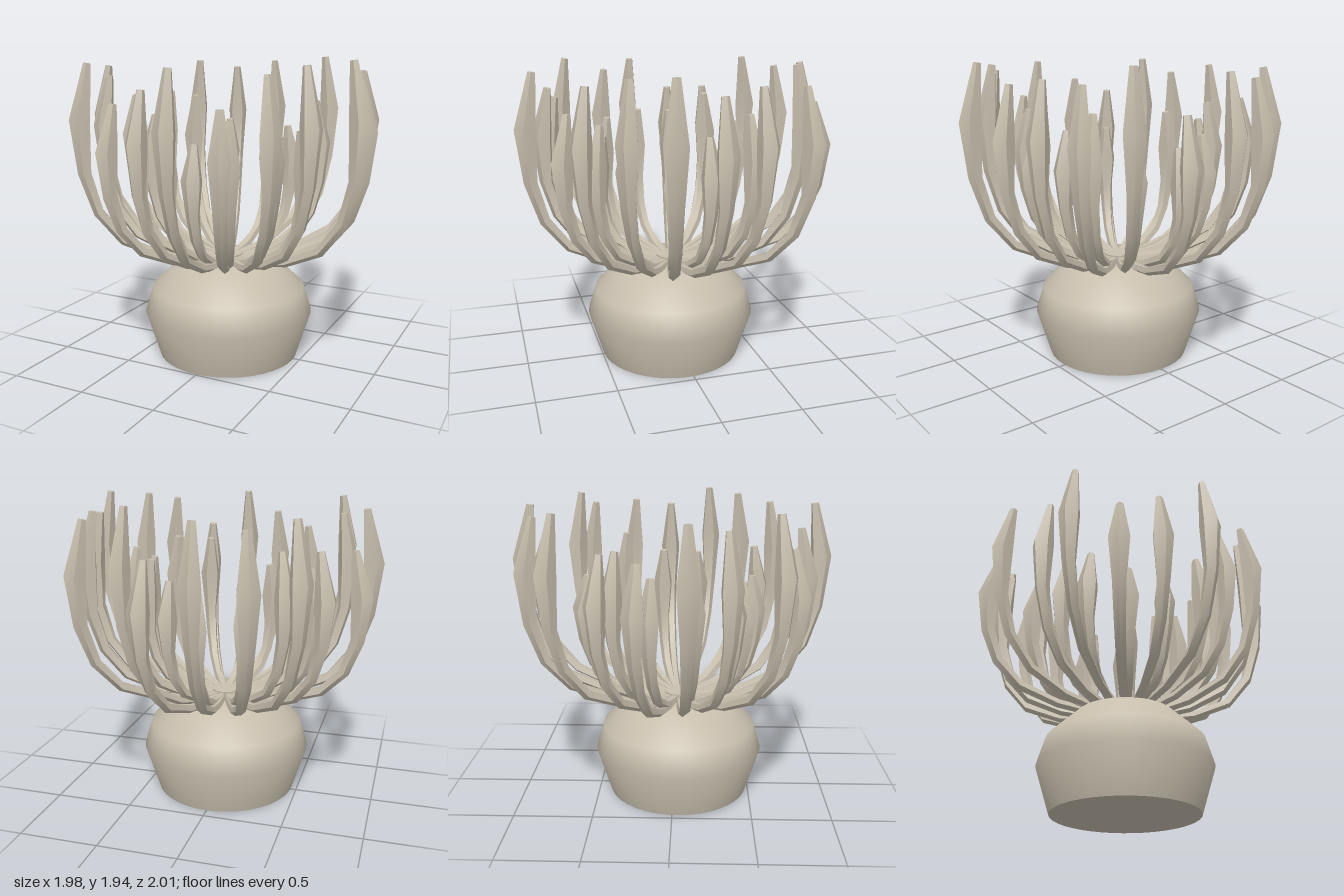
import * as THREE from 'three';
import { toCreasedNormals } from 'three/addons/utils/BufferGeometryUtils.js';

const SIDES = 5;
const CENTRE_Z = 0.03;
const ROOT_Y = 0.645;

// Arm sections: [outward fraction, upward fraction, radius]
const SECTIONS = [
  [0, 0, 0.026], [0.22, 0.012, 0.027], [0.4, 0.035, 0.028], [0.7, 0.125, 0.032],
  [0.885, 0.275, 0.036], [0.98, 0.475, 0.044], [1, 0.73, 0.068], [0.93, 1, 0.024],
];

// Bulge position x, z and tip height y of each arm
const OUTER_ARMS = [
  [-0.08, -0.94, 1.9], [0.225, -0.91, 1.68], [-0.37, -0.87, 1.855], [-0.615, -0.705, 1.9],
  [-0.71, -0.42, 1.69], [-0.89, -0.19, 1.67], [-0.92, 0.1, 1.88], [-0.745, 0.335, 1.825],
  [-0.705, 0.63, 1.91], [-0.44, 0.745, 1.685], [-0.19, 0.815, 1.775], [0.07, 0.935, 1.9],
  [0.305, 0.76, 1.68], [0.565, 0.685, 1.865], [0.71, 0.455, 1.91], [0.925, 0.245, 1.935],
  [0.875, -0.05, 1.825], [0.805, -0.31, 1.86], [0.735, -0.615, 1.845], [0.43, -0.68, 1.935],
];
const INNER_ARMS = [
  [-0.26, -0.52, 1.5], [0, -0.59, 1.45], [0.235, -0.455, 1.48], [0.48, -0.36, 1.66],
  [0.495, -0.09, 1.54], [0.565, 0.155, 1.52], [0.47, 0.41, 1.625], [0.26, 0.555, 1.6],
  [0, 0.52, 1.45], [-0.215, 0.45, 1.45], [-0.455, 0.375, 1.53], [-0.52, 0.13, 1.57],
  [-0.605, -0.125, 1.54], [-0.465, -0.355, 1.67],
];

// Five-sided arm that sweeps out along +x, then up to a blunt tip
function armGeometry(rootR, reach, height) {
  const path = SECTIONS.map(([u, v]) => new THREE.Vector2(rootR + u * (reach - rootR), v * height));
  const positions = [];
  const index = [];
  const last = path.length - 1;
  path.forEach((p, i) => {
    const t = path[Math.min(i + 1, last)].clone().sub(path[Math.max(i - 1, 0)]).normalize();
    const r = SECTIONS[i][2];
    for (let j = 0; j < SIDES; j++) {
      const a = (j / SIDES) * Math.PI * 2;
      const n = r * Math.cos(a);
      positions.push(p.x + t.y * n, p.y - t.x * n, -r * Math.sin(a));
      if (i < last) {
        const k = (j + 1) % SIDES;
        const A = i * SIDES + j, B = i * SIDES + k;
        index.push(A, B, B + SIDES, A, B + SIDES, A + SIDES);
      }
    }
  });
  // End caps
  const top = last * SIDES;
  for (let j = 1; j < SIDES - 1; j++) {
    index.push(0, j + 1, j, top, top + j, top + j + 1);
  }
  const g = new THREE.BufferGeometry();
  g.setAttribute('position', new THREE.Float32BufferAttribute(positions, 3));
  g.setIndex(index);
  return toCreasedNormals(g, 0.6);
}

export function createModel() {
  const model = new THREE.Group();
  model.name = 'anemone';
  const stone = new THREE.MeshStandardMaterial({ color: 0xc8bfae });
  stone.name = 'warm stone';

  const add = (parent, name, geometry) => {
    const mesh = new THREE.Mesh(geometry, stone);
    mesh.name = name;
    parent.add(mesh);
    return mesh;
  };

  // Rounded body with a flat underside
  const body = new THREE.Group();
  body.name = 'body';
  body.position.set(-0.003, 0, CENTRE_Z);
  model.add(body);
  const profile = [[0.46, 0], [0.55, 0.29], [0.5, 0.46], [0.31, 0.64], [0, 0.65]];
  add(body, 'bodyShell', new THREE.LatheGeometry(profile.map(([r, y]) => new THREE.Vector2(r, y)), 40));
  add(body, 'underside', new THREE.CircleGeometry(0.46, 40).rotateX(Math.PI / 2));

  // Small disc in the middle of the arms
  add(body, 'mouthDisc', new THREE.CylinderGeometry(0.092, 0.085, 0.06, 12)).position.y = 0.645;

  // Two rings of arms
  const addRing = (name, arms, rootR) => {
    const ring = new THREE.Group();
    ring.name = name;
    ring.position.set(0, ROOT_Y, CENTRE_Z);
    model.add(ring);
    for (const [x, z, tip] of arms) {
      const dz = z - CENTRE_Z;
      const arm = add(ring, 'arm', armGeometry(rootR, Math.hypot(x, dz), tip - ROOT_Y));
      arm.rotation.y = Math.atan2(-dz, x);
    }
  };
  addRing('outerArms', OUTER_ARMS, 0.12);
  addRing('innerArms', INNER_ARMS, 0.08);

  return model;
}
